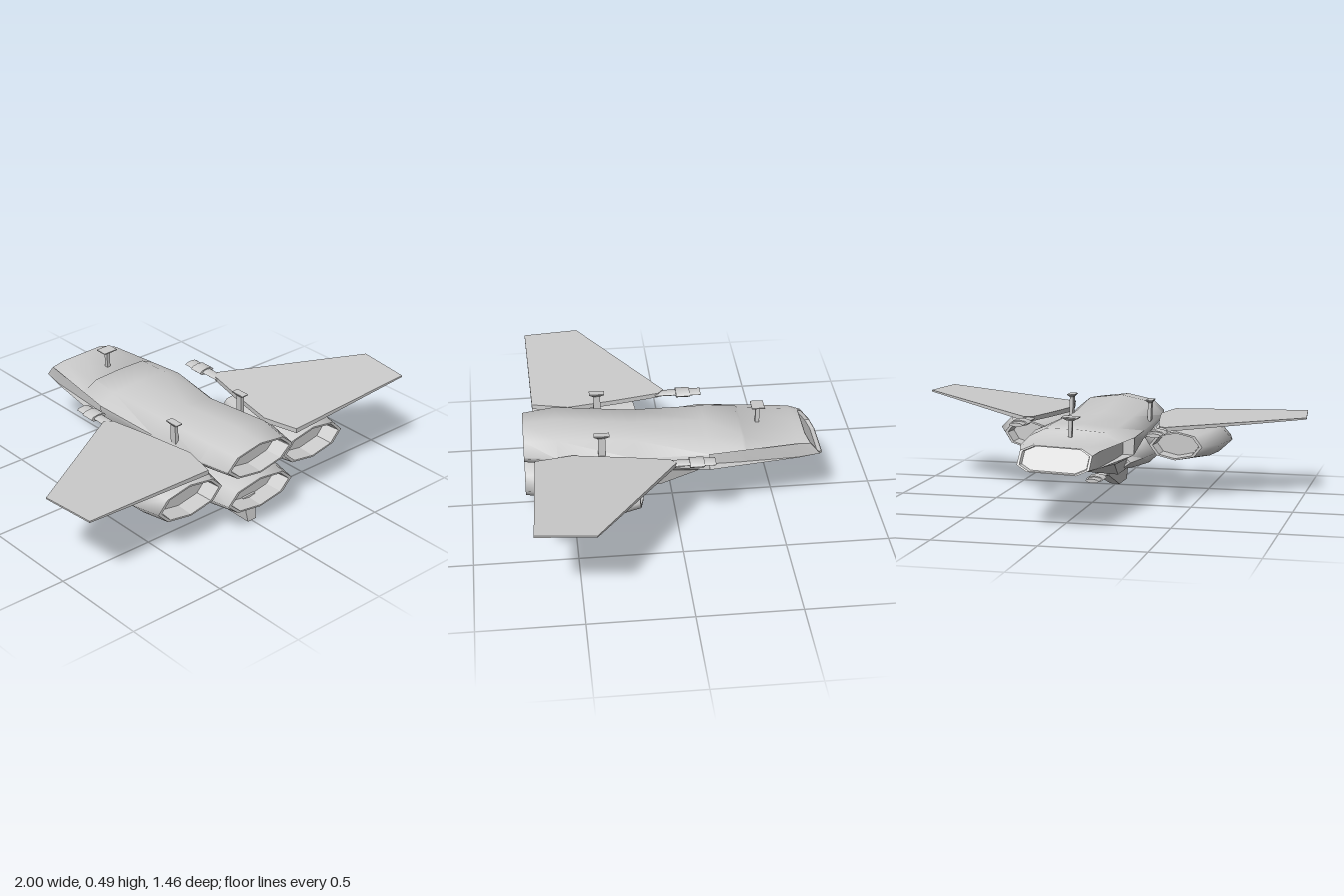
import * as THREE from 'three';
import { toCreasedNormals } from 'three/addons/utils/BufferGeometryUtils.js';

const material = new THREE.MeshStandardMaterial({ color: 0xcccccc, side: THREE.DoubleSide });

function part(name, geometry) {
  const mesh = new THREE.Mesh(geometry, material);
  mesh.name = name;
  return mesh;
}

// Skin over a list of closed rings, counter-clockwise seen from the end they run to
function loft(rings, crease, capEnd = false) {
  const n = rings[0].length, pos = [], idx = [];
  rings.forEach(r => r.forEach(p => pos.push(p.x, p.y, p.z)));
  for (let j = 0; j < rings.length - 1; j++) {
    for (let i = 0; i < n; i++) {
      const a = j * n + i, b = j * n + (i + 1) % n;
      idx.push(a, b, b + n, a, b + n, a + n);
    }
  }
  if (capEnd) {
    const c = centre(rings.at(-1)), k = (rings.length - 1) * n;
    pos.push(c.x, c.y, c.z);
    for (let i = 0; i < n; i++) idx.push(rings.length * n, k + i, k + (i + 1) % n);
  }
  const g = new THREE.BufferGeometry();
  g.setAttribute('position', new THREE.Float32BufferAttribute(pos, 3));
  g.setIndex(idx);
  return toCreasedNormals(g, crease);
}

function centre(ring) {
  return ring.reduce((s, p) => s.add(p), new THREE.Vector3()).divideScalar(ring.length);
}

// Rim, inner wall and floor closing an open end; positive depth faces +z
function mouth(name, ring, rim, depth) {
  const c = centre(ring);
  const outer = depth > 0 ? ring : [...ring].reverse();
  const inner = outer.map(p => p.clone().lerp(c, rim));
  const deep = outer.map(p => p.clone().lerp(c, rim * 1.5).add(new THREE.Vector3(0, 0, -depth)));
  return part(name, loft([outer, inner, deep], 0.3, true));
}

// Thin plate from an outline, placed by a rule (u, v, d) -> position, d from 0 to 1
function plate(points, rule) {
  const shape = new THREE.Shape(points.map(p => new THREE.Vector2(...p)));
  const g = new THREE.ExtrudeGeometry(shape, { depth: 1, bevelEnabled: false });
  const p = g.attributes.position;
  for (let i = 0; i < p.count; i++) p.setXYZ(i, ...rule(p.getX(i), p.getY(i), p.getZ(i)));
  g.computeVertexNormals();
  return g;
}

// Eight-sided engine; rows of [z, half width, half height, y]
function engine(name, x, rows, slant) {
  const group = new THREE.Group();
  group.name = name;
  const rings = rows.map(([z, w, h, y], j) => Array.from({ length: 8 }, (_, i) => {
    const t = i * Math.PI / 4, dx = w * Math.cos(t);
    return new THREE.Vector3(x + dx, y + h * Math.sin(t), z + (j === 0 ? slant * dx : 0));
  }));
  group.add(part('engineShell', loft(rings, 1.7)));
  group.add(mouth('engineIntake', rings[0], 0.12, -0.08));
  group.add(mouth('engineExhaust', rings.at(-1), 0.1, 0.09));
  return group;
}

// Flattened gun pointing to -z, its rear end at the origin
function cannon(name) {
  const group = new THREE.Group();
  group.name = name;
  for (const [label, z0, z1, w, h] of [
    ['gunRod', 0.04, -0.07, 0.028, 0.010],
    ['gunCollar', -0.065, -0.135, 0.044, 0.016],
    ['gunMuzzle', -0.13, -0.19, 0.036, 0.010],
  ]) {
    const g = new THREE.CylinderGeometry(1, 1, z0 - z1, 8).rotateX(Math.PI / 2);
    g.scale(w, h, 1).translate(0, 0, (z0 + z1) / 2);
    group.add(part(label, toCreasedNormals(g, 1)));
  }
  return group;
}

// Post with a flared rectangular head
function antenna(name, x, z, base, top, w, d, post) {
  const group = new THREE.Group();
  group.name = name;
  const stem = new THREE.BoxGeometry(0.018, top - base, post);
  group.add(part('antennaStem', stem.translate(0, (base + top) / 2 - 0.005, 0)));
  const head = new THREE.CylinderGeometry(Math.SQRT1_2, 0.35, 0.012, 4).rotateY(Math.PI / 4);
  head.scale(w, 1, d).translate(0, top - 0.01, 0);
  group.add(part('antennaHead', toCreasedNormals(head, 0.3)));
  const plateTop = new THREE.BoxGeometry(w, 0.005, d);
  group.add(part('antennaPlate', plateTop.translate(0, top - 0.0025, 0)));
  group.position.set(x, 0, z);
  return group;
}

export function createModel() {
  const model = new THREE.Group();
  model.name = 'spacecraft';
  const body = new THREE.Group();
  body.name = 'airframe';
  body.position.y = 0.29;
  body.rotation.set(0, -0.013, 0.037);
  const craft = new THREE.Group();
  craft.position.y = -0.29;
  body.add(craft);
  model.add(body);

  // Fuselage: z, half width, top, shoulder, side top, side bottom, low shoulder, bottom, flat share, recess
  const sections = [
    [-0.73, 0.172, 0.385, 0.385, 0.36, 0.30, 0.275, 0.275, 0.68, 1],
    [-0.60, 0.190, 0.388, 0.387, 0.372, 0.293, 0.27, 0.268, 0.66, 0.97],
    [-0.34, 0.226, 0.403, 0.400, 0.372, 0.29, 0.25, 0.245, 0.65, 0.86],
    [-0.325, 0.228, 0.419, 0.414, 0.372, 0.29, 0.25, 0.243, 0.65, 0.86],
    [-0.16, 0.250, 0.421, 0.412, 0.372, 0.287, 0.235, 0.225, 0.65, 0.78],
    [-0.159, 0.250, 0.421, 0.412, 0.372, 0.287, 0.235, 0.225, 0.65, 1],
    [0.20, 0.215, 0.430, 0.415, 0.35, 0.31, 0.245, 0.225, 0.70, 1],
    [0.57, 0.235, 0.468, 0.442, 0.38, 0.372, 0.31, 0.284, 0.707, 1],
    [0.73, 0.200, 0.455, 0.432, 0.378, 0.372, 0.32, 0.295, 0.707, 1],
  ];
  const hull = sections.map(([z, w, top, sh, hi, lo, sl, bot, a, r], j) => {
    const half = [[0, bot], [a, sl], [1, lo], [r, lo], [r, hi], [1, hi], [a, sh], [0, top]];
    const loop = [...half, ...half.slice(1, -1).reverse().map(([x, y]) => [-x, y])];
    const rake = j === 0 ? 0.09 : 0;
    return loop.map(([x, y]) => new THREE.Vector3(x * w, y, z + rake * (y - bot) / (top - bot)));
  });
  craft.add(part('fuselage', loft(hull, 0.85)));
  craft.add(mouth('noseOpening', hull[0], 0.07, -0.02));
  craft.add(mouth('upperExhaust', hull.at(-1), 0.1, 0.09));

  // Lower engine and the wedge fairing ahead of it
  craft.add(engine('lowerEngine', 0, [
    [0.17, 0.16, 0.05, 0.185], [0.30, 0.195, 0.075, 0.19],
    [0.57, 0.235, 0.097, 0.188], [0.73, 0.2, 0.079, 0.188],
  ], 0));
  craft.add(part('bellyFairing', plate(
    [[-0.12, 0.24], [-0.11, 0.222], [0.07, 0.14], [0.22, 0.138], [0.24, 0.24]],
    (z, y, d) => [(0.5 - d) * (0.24 + 0.6 * (y - 0.14)), y, z])));

  // Ventral fin with its gun
  craft.add(part('ventralFin', plate(
    [[0.22, 0.115], [0.23, 0.098], [0.51, 0.002], [0.67, 0.002], [0.65, 0.13], [0.3, 0.15]],
    (z, y, d) => [(0.5 - d) * (0.05 + 0.2 * y), y, z])));
  const finGun = cannon('finGun');
  finGun.position.set(0, 0.105, 0.21);
  craft.add(finGun);

  // Mirrored side engines, wings, wing guns and rear antennas
  const wing = plate(
    [[0.36, 0.012], [1, 0.422], [0.97, 0.70], [0.275, 0.68], [0.235, 0.5], [0.28, 0.25], [0.325, 0.04]],
    (x, z, d) => {
      const k = (x - 0.25) / 0.75;
      return [x, 0.387 + 0.05 * k + (0.5 - d) * (0.024 - 0.016 * k), z];
    });
  for (const [side, s] of [['left', 1], ['right', -1]]) {
    const half = new THREE.Group();
    half.name = side + 'Side';
    half.scale.x = s;
    half.add(engine(side + 'Engine', 0.385, [
      [0.175, 0.13, 0.073, 0.288], [0.36, 0.2, 0.09, 0.285],
      [0.53, 0.225, 0.094, 0.283], [0.68, 0.19, 0.083, 0.283],
    ], 0.17));
    half.add(part(side + 'Wing', wing));
    const gun = cannon(side + 'WingGun');
    gun.position.set(0.345, 0.392, 0.015);
    half.add(gun);
    half.add(antenna(side + 'Antenna', 0.207, 0.357, 0.38, 0.487, 0.036, 0.075, 0.035));
    craft.add(half);
  }
  craft.add(antenna('noseAntenna', 0, -0.42, 0.39, 0.494, 0.078, 0.063, 0.02));
  return model;
}
